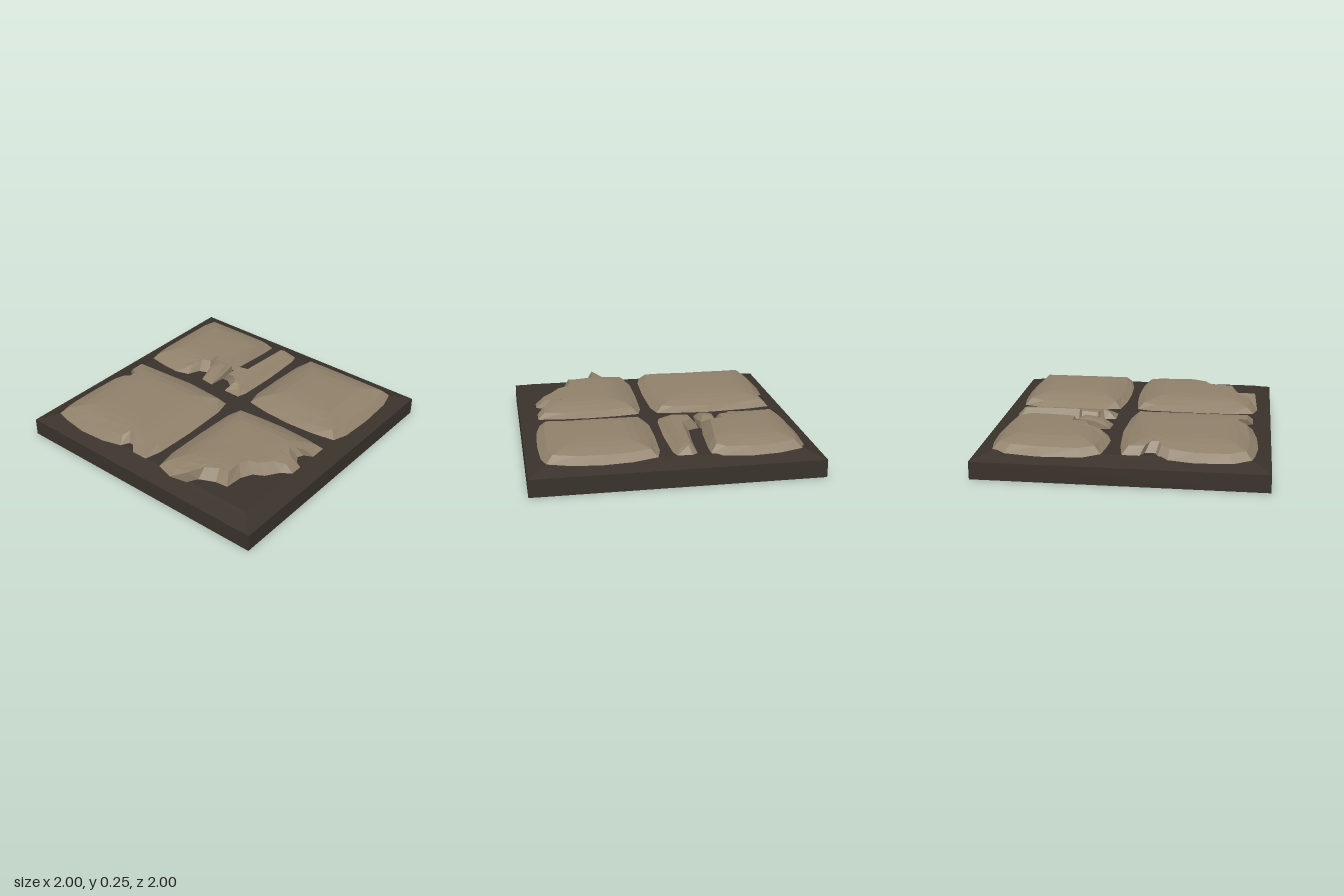
import * as THREE from 'three';

const stoneMat = new THREE.MeshStandardMaterial({ color: 0x8f806a });
stoneMat.name = 'sandy stone';
const mortarMat = new THREE.MeshStandardMaterial({ color: 0x3a322b });
mortarMat.name = 'dark mortar';

// Piecewise linear curve through [input, output] pairs
function curve(pts, d) {
  if (d <= pts[0][0]) return pts[0][1];
  for (let i = 1; i < pts.length; i++) {
    const [a, ya] = pts[i - 1], [b, yb] = pts[i];
    if (d <= b) return ya + (yb - ya) * (d - a) / (b - a);
  }
  return pts[pts.length - 1][1];
}
const MORTAR = [[0, 0.125], [0.09, 0.155], [0.13, 0.17]];
const DOME = [[0, 0.155], [0.05, 0.197], [0.09, 0.222], [0.19, 0.245], [0.3, 0.25]];
const mortarY = (x, z) => curve(MORTAR, 1 - Math.max(Math.abs(x), Math.abs(z)));

// Outlines seen from above, as [x, z] or [x, z, y]
const backLeft = [
  [-0.87, -0.87], [-0.75, -0.91], [-0.5, -0.92], [-0.32, -0.9], [-0.25, -0.86], [-0.23, -0.81],
  [-0.16, -0.81], [-0.13, -0.87], [-0.01, -0.87], [0.02, -0.7], [0.04, -0.4], [0.02, -0.1],
  [0, -0.01], [-0.12, 0.02], [-0.45, 0.03], [-0.75, 0.02], [-0.87, -0.01], [-0.87, -0.13],
  [-0.81, -0.16], [-0.81, -0.22], [-0.87, -0.25], [-0.9, -0.4], [-0.91, -0.6], [-0.89, -0.78]];
const frontLeft = [
  [-0.87, 0.12], [-0.7, 0.09], [-0.4, 0.09], [-0.1, 0.1], [0, 0.13], [0.02, 0.3],
  [0.03, 0.5], [0.02, 0.72], [0, 0.87], [-0.12, 0.87], [-0.15, 0.81], [-0.19, 0.79],
  [-0.24, 0.82], [-0.27, 0.87], [-0.36, 0.87], [-0.41, 0.8], [-0.5, 0.74], [-0.54, 0.67],
  [-0.62, 0.63], [-0.75, 0.62], [-0.76, 0.53], [-0.81, 0.42], [-0.88, 0.38, 0.25], [-0.9, 0.24]];
const frontRight = [
  [0.13, 0.12], [0.25, 0.09], [0.5, 0.09], [0.75, 0.1], [0.87, 0.13], [0.9, 0.3],
  [0.91, 0.5], [0.9, 0.7], [0.87, 0.87], [0.75, 0.9], [0.5, 0.91], [0.25, 0.9],
  [0.13, 0.87], [0.1, 0.7], [0.09, 0.5], [0.1, 0.3]];
const backRight = [
  [0.13, -0.87], [0.25, -0.91], [0.55, -0.92], [0.78, -0.9], [0.87, -0.86], [0.9, -0.7],
  [0.91, -0.5], [0.89, -0.3], [0.86, -0.23], [0.75, -0.23], [0.5, -0.25], [0.38, -0.27],
  [0.36, -0.37], [0.25, -0.38], [0.22, -0.46], [0.13, -0.5], [0.1, -0.6], [0.11, -0.75]];
const strip = [
  [0.25, -0.25], [0.37, -0.25], [0.4, -0.17], [0.6, -0.15], [0.84, -0.14], [0.87, -0.1],
  [0.86, 0], [0.8, 0.02], [0.5, 0.03], [0.2, 0.02], [0.13, 0], [0.13, -0.13], [0.21, -0.14], [0.25, -0.2]];
const shard = [
  [0.14, -0.36, 0.18], [0.25, -0.37, 0.23], [0.37, -0.36, 0.24],
  [0.38, -0.26, 0.22], [0.25, -0.25, 0.2], [0.13, -0.26, 0.175]];

// Domed stone: rings from the outline in to a core segment [x0, x1, z],
// with height set by the distance to the uncut rectangle [x0, x1, z0, z1]
function stoneGeometry(outline, rect, core) {
  const domeY = (x, z) => curve(DOME, Math.min(x - rect[0], rect[1] - x, z - rect[2], rect[3] - z));
  const edge = outline.map(([x, z, y]) => [x, y ?? mortarY(x, z), z]);
  const rings = [edge.map(([x, , z]) => [x, mortarY(x, z) - 0.02, z]), edge];
  for (const t of [0, 0.22, 0.4, 0.65, 1]) {
    rings.push(edge.map(([x, , z]) => {
      const dx = THREE.MathUtils.clamp(x, core[0], core[1]) - x, dz = core[2] - z;
      const len = Math.hypot(dx, dz), bevel = Math.min(0.06 / len, 0.45);
      const s = bevel + (1 - bevel) * t;
      const px = x + dx * s, pz = z + dz * s;
      return [px, domeY(px, pz), pz];
    }));
  }
  const pos = [], n = edge.length;
  for (let r = 0; r < rings.length - 1; r++) {
    for (let i = 0; i < n; i++) {
      const j = (i + 1) % n, lo = rings[r], hi = rings[r + 1];
      pos.push(...lo[i], ...hi[i], ...lo[j], ...lo[j], ...hi[i], ...hi[j]);
    }
  }
  const geo = new THREE.BufferGeometry();
  geo.setAttribute('position', new THREE.Float32BufferAttribute(pos, 3));
  geo.computeVertexNormals();
  return geo;
}

export function createModel() {
  const group = new THREE.Group();
  const add = (name, geo, mat) => {
    const mesh = new THREE.Mesh(geo, mat);
    mesh.name = name;
    group.add(mesh);
  };

  // Square mortar bed with a sloping rim
  const profile = [[1, 0], [1, 0.125], [0.91, 0.155], [0.87, 0.17], [0, 0.17]]
    .map(([r, y]) => new THREE.Vector2(r * Math.SQRT2, y));
  const bed = new THREE.LatheGeometry(profile, 4, Math.PI / 4).toNonIndexed();
  bed.computeVertexNormals();
  add('mortarBed', bed, mortarMat);

  // Raised stones
  const rightRect = [0.1, 0.91, -0.92, 0.03];
  add('backLeftStone', stoneGeometry(backLeft, [-0.91, 0.04, -0.92, 0.03], [-0.48, -0.38, -0.45]), stoneMat);
  add('frontLeftStone', stoneGeometry(frontLeft, [-0.91, 0.03, 0.09, 0.91], [-0.45, -0.35, 0.44]), stoneMat);
  add('frontRightStone', stoneGeometry(frontRight, [0.09, 0.91, 0.09, 0.91], [0.5, 0.5, 0.5]), stoneMat);
  add('backRightStone', stoneGeometry(backRight, rightRect, [0.5, 0.56, -0.55]), stoneMat);
  add('brokenStrip', stoneGeometry(strip, rightRect, [0.25, 0.76, -0.06]), stoneMat);
  add('brokenShard', stoneGeometry(shard, rightRect, [0.26, 0.26, -0.31]), stoneMat);

  // Flat underside with stone footprints inlaid in the mortar
  const under = new THREE.Shape([[-1, -1], [1, -1], [1, 1], [-1, 1]].map(p => new THREE.Vector2(...p)));
  for (const outline of [backLeft, frontLeft, frontRight, backRight]) {
    const pts = outline.map(([x, z]) => new THREE.Vector2(x, z));
    under.holes.push(new THREE.Path(pts));
    add('stoneFootprint', new THREE.ShapeGeometry(new THREE.Shape(pts)).rotateX(Math.PI / 2), stoneMat);
  }
  add('mortarUnderside', new THREE.ShapeGeometry(under).rotateX(Math.PI / 2), mortarMat);

  return group;
}
